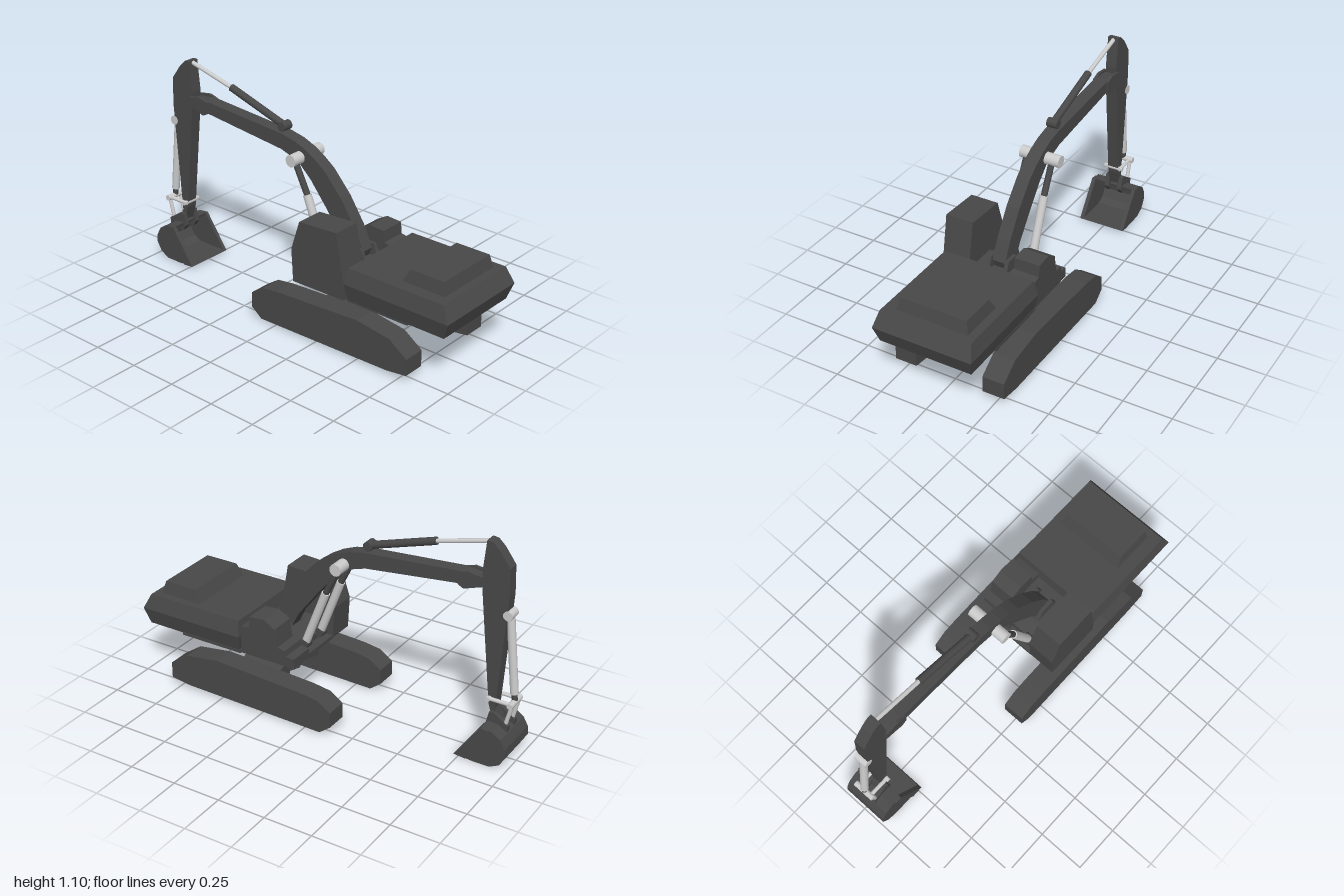
import * as THREE from 'three';

const dark = new THREE.MeshStandardMaterial({ color: 0x484848, flatShading: true });
const darkSmooth = new THREE.MeshStandardMaterial({ color: 0x484848 });
const light = new THREE.MeshStandardMaterial({ color: 0xcccccc });

export function createModel() {
  const model = new THREE.Group();
  const CX = -0.008; // centre line of the digging arm

  const add = (name, geometry, material) => {
    const mesh = new THREE.Mesh(geometry, material);
    mesh.name = name;
    model.add(mesh);
    return mesh;
  };

  // Side profile of [z, y] points, extruded from x0 to x1
  const slab = (name, points, x0, x1) => {
    const shape = new THREE.Shape(points.map(([z, y]) => new THREE.Vector2(-z, y)));
    const g = new THREE.ExtrudeGeometry(shape, { depth: x1 - x0, bevelEnabled: false });
    g.rotateY(Math.PI / 2).translate(x0, 0, 0);
    return add(name, g, dark);
  };

  // Front profile of [x, y] points, extruded from z0 to z1
  const bar = (name, points, z0, z1) => {
    const shape = new THREE.Shape(points.map(([x, y]) => new THREE.Vector2(x, y)));
    const g = new THREE.ExtrudeGeometry(shape, { depth: z1 - z0, bevelEnabled: false });
    return add(name, g.translate(0, 0, z0), dark);
  };

  // Stacked rectangles [y, x0, x1, z0, z1], from bottom to top
  const stack = (name, rows) => {
    const n = rows.length - 1;
    const g = new THREE.BoxGeometry(1, 1, 1, 1, n, 1);
    const p = g.attributes.position;
    for (let i = 0; i < p.count; i++) {
      const [y, x0, x1, z0, z1] = rows[Math.round((p.getY(i) + 0.5) * n)];
      p.setXYZ(i, p.getX(i) < 0 ? x0 : x1, y, p.getZ(i) < 0 ? z0 : z1);
    }
    g.computeVertexNormals();
    return add(name, g, dark);
  };

  // Round rod between two points
  const rod = (name, a, b, r, material) => {
    const from = new THREE.Vector3(...a), to = new THREE.Vector3(...b);
    const dir = to.clone().sub(from);
    const mesh = add(name, new THREE.CylinderGeometry(r, r, dir.length(), 16), material);
    mesh.position.copy(from).add(to).multiplyScalar(0.5);
    mesh.quaternion.setFromUnitVectors(new THREE.Vector3(0, 1, 0), dir.normalize());
    return mesh;
  };
  const pin = (name, z, y, x0, x1, r, material) => rod(name, [x0, y, z], [x1, y, z], r, material);

  // Tracks and the struts that carry them
  const track = [[0.8, 0.13], [0.7, 0.2], [0.51, 0.227], [0.01, 0.2], [-0.08, 0.187], [-0.15, 0.14],
    [-0.15, 0.06], [-0.09, 0.014], [0.69, 0.03], [0.8, 0.045]];
  slab('rightTrack', track, -0.3, -0.185);
  slab('leftTrack', track, 0.18, 0.295);
  bar('rightStrut', [[-0.19, 0.115], [-0.09, 0.142], [-0.09, 0.228], [-0.19, 0.192]], 0.22, 0.45);
  bar('leftStrut', [[0.185, 0.115], [0.185, 0.192], [0.08, 0.228], [0.08, 0.142]], 0.22, 0.45);

  // Slewing base
  const base = add('slewingBase', new THREE.CylinderGeometry(0.115, 0.115, 0.15, 8), dark);
  base.position.set(CX, 0.205, 0.335);
  const ring = add('slewingRing', new THREE.CylinderGeometry(0.135, 0.135, 0.055, 8), dark);
  ring.position.set(CX, 0.25, 0.335);

  // Upper deck, engine housing with counterweight, and hood
  stack('deck', [[0.274, -0.255, 0.235, 0.41, 0.765], [0.29, -0.255, 0.235, 0.41, 0.765]]);
  stack('frontDeck', [[0.274, -0.13, 0.225, 0.1, 0.41], [0.295, -0.13, 0.225, 0.1, 0.41]]);
  stack('engineHousing', [
    [0.285, -0.257, 0.232, 0.42, 0.97],
    [0.37, -0.275, 0.25, 0.408, 1.0],
    [0.45, -0.255, 0.23, 0.42, 0.96],
  ]);
  stack('hood', [[0.45, -0.192, 0.188, 0.685, 0.92], [0.515, -0.178, 0.174, 0.72, 0.905]]);

  // Cab
  slab('cab', [[0.41, 0.285], [0.41, 0.37], [0.365, 0.618], [0.14, 0.605], [0.09, 0.45], [0.1, 0.28]], -0.277, -0.13);

  // Stepped side box and the boom mount
  slab('sideBox', [[0.41, 0.285], [0.41, 0.42], [0.36, 0.43], [0.355, 0.49], [0.27, 0.495], [0.21, 0.46],
    [0.195, 0.365], [0.15, 0.36], [0.145, 0.33], [0.1, 0.325], [0.1, 0.285]], 0.09, 0.225);
  slab('boomMount', [[0.41, 0.285], [0.41, 0.38], [0.22, 0.38], [0.15, 0.33], [0.15, 0.285]], -0.13, 0.09);
  for (const x of [-0.065, 0.03]) {
    slab('boomBracket', [[0.37, 0.37], [0.34, 0.44], [0.27, 0.44], [0.22, 0.37]], x, x + 0.02);
  }

  // Boom with its end yoke
  slab('boom', [[0.335, 0.42], [0.29, 0.52], [0.2, 0.655], [0.1, 0.765], [0.04, 0.81], [-0.02, 0.845],
    [-0.09, 0.873], [-0.17, 0.89], [-0.69, 0.93], [-0.78, 0.92], [-0.78, 0.89], [-0.67, 0.866], [-0.18, 0.81],
    [-0.07, 0.775], [0.01, 0.7], [0.1, 0.59], [0.2, 0.46], [0.24, 0.38], [0.32, 0.38]], -0.042, 0.027);
  for (const x of [-0.05, 0.021]) {
    slab('boomYoke', [[-0.67, 0.925], [-0.72, 0.94], [-0.79, 0.93], [-0.8, 0.885], [-0.7, 0.85], [-0.67, 0.865]], x, x + 0.014);
  }

  // Boom cylinders
  pin('boomPin', -0.06, 0.8, -0.11, 0.105, 0.031, light);
  for (const x of [-0.08, 0.058]) {
    rod('boomCylinder', [x, 0.33, 0.14], [x, 0.64, 0.02], 0.021, light);
    rod('boomCylinderRod', [x, 0.64, 0.02], [x, 0.8, -0.06], 0.016, darkSmooth);
    pin('boomCylinderFoot', 0.14, 0.33, x - 0.025, x + 0.025, 0.025, darkSmooth);
  }

  // Stick
  slab('stick', [[-0.8, 1.112], [-0.83, 1.108], [-0.865, 1.075], [-0.92, 1.0], [-0.925, 0.86], [-0.885, 0.27],
    [-0.91, 0.215], [-0.87, 0.215], [-0.85, 0.29], [-0.788, 0.87], [-0.784, 0.95]], -0.037, 0.022);

  // Stick cylinder above the boom
  pin('stickCylinderFoot', -0.185, 0.92, -0.035, 0.02, 0.024, darkSmooth);
  rod('stickCylinder', [CX, 0.92, -0.185], [CX, 1.03, -0.535], 0.019, darkSmooth);
  rod('stickCylinderRod', [CX, 1.03, -0.535], [CX, 1.1, -0.81], 0.011, light);

  // Bucket cylinder and linkage
  pin('bucketCylinderPin', -0.922, 0.765, -0.04, 0.025, 0.024, light);
  rod('bucketCylinder', [CX, 0.765, -0.922], [CX, 0.36, -0.965], 0.02, light);
  rod('bucketCylinderRod', [CX, 0.36, -0.965], [CX, 0.318, -0.97], 0.014, darkSmooth);
  for (const x of [-0.045, 0.03]) {
    rod('linkArm', [x, 0.318, -0.845], [x, 0.318, -0.975], 0.01, light);
    rod('linkDrop', [x, 0.318, -0.975], [x, 0.2, -0.945], 0.01, light);
    slab('bucketEar', [[-0.85, 0.19], [-0.865, 0.255], [-0.89, 0.255], [-0.965, 0.205], [-0.96, 0.16], [-0.87, 0.16]], x - 0.012, x + 0.012);
  }
  pin('linkPin', -0.855, 0.318, -0.06, 0.045, 0.011, light);
  pin('linkPin', -0.97, 0.318, -0.065, 0.05, 0.015, light);

  // Bucket: curved shell closed by two side plates
  const outer = [[-0.73, 0.018], [-0.83, 0.008], [-0.915, 0.008], [-0.965, 0.033], [-0.995, 0.085],
    [-0.99, 0.125], [-0.965, 0.17], [-0.92, 0.2], [-0.862, 0.205]];
  const inner = [[-0.865, 0.188], [-0.915, 0.184], [-0.95, 0.158], [-0.973, 0.12], [-0.976, 0.09],
    [-0.95, 0.046], [-0.91, 0.024], [-0.83, 0.023], [-0.735, 0.026]];
  slab('bucketShell', [...outer, ...inner], -0.128, 0.112);
  for (const x of [-0.132, 0.102]) slab('bucketSide', outer, x, x + 0.014);
  const edge = [[-0.73, 0.018], [-0.862, 0.205], [-0.9, 0.2], [-0.79, 0.012]];
  for (const x of [-0.139, 0.108]) slab('bucketSideEdge', edge, x, x + 0.012);

  return model;
}
